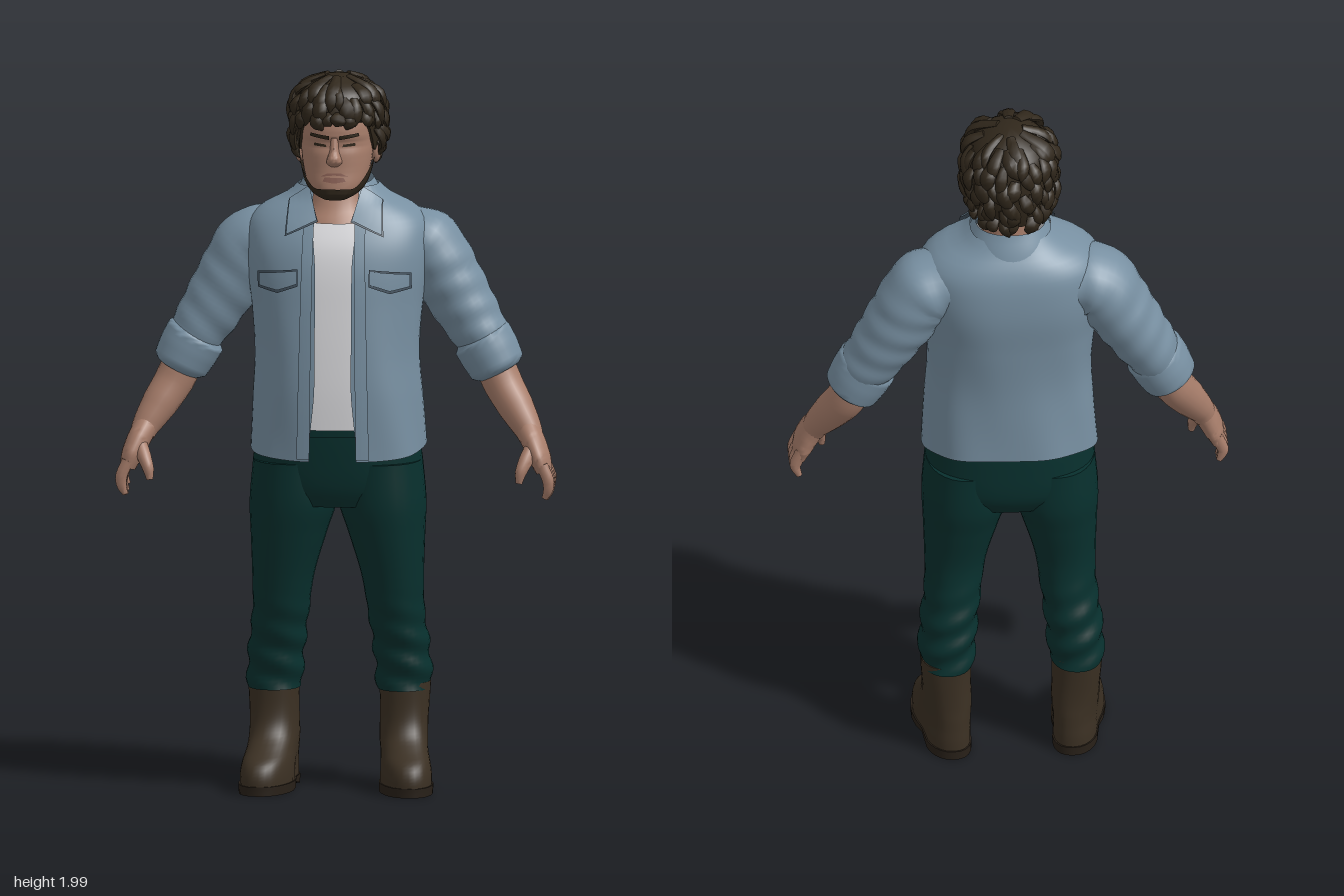
import * as THREE from 'three';
import { toCreasedNormals } from 'three/addons/utils/BufferGeometryUtils.js';

const mat = (name, color, side = THREE.FrontSide) => {
  const m = new THREE.MeshStandardMaterial({ color, side });
  m.name = name;
  return m;
};
const { lerp, smoothstep } = THREE.MathUtils;
const V = (x, y, z) => new THREE.Vector3(x, y, z);
const TAU = Math.PI * 2;

// Grid surface from f(u, v); caps close the first and last rows with fans
function patch(f, u0, u1, v0, v1, nu, nv, caps = false) {
  const rows = [];
  for (let j = 0; j <= nv; j++) {
    const row = [];
    for (let i = 0; i <= nu; i++) row.push(f(lerp(u0, u1, i / nu), lerp(v0, v1, j / nv)));
    rows.push(row);
  }
  if (caps) {
    const centre = (row) => {
      const c = V(0, 0, 0);
      for (let i = 0; i < nu; i++) c.addScaledVector(row[i], 1 / nu);
      return row.map(() => c);
    };
    rows.unshift(centre(rows[0]));
    rows.push(centre(rows[rows.length - 1]));
  }
  const pos = rows.flat().flatMap((p) => [p.x, p.y, p.z]);
  const idx = [], w = nu + 1;
  for (let j = 0; j < rows.length - 1; j++) for (let i = 0; i < nu; i++) {
    const a = j * w + i, b = a + 1, c = a + w, d = c + 1;
    if (!(caps && j === 0)) idx.push(a, b, caps && j === rows.length - 2 ? c : d);
    if (!(caps && j === rows.length - 2)) idx.push(a, d, c);
  }
  const g = new THREE.BufferGeometry();
  g.setAttribute('position', new THREE.Float32BufferAttribute(pos, 3));
  g.setIndex(idx);
  return toCreasedNormals(g, 1.0);
}

// Body of horizontal rings [y, halfWidth, frontZ, backZ, centreX]; angle 0 faces front
function body(secs, p = 0.9) {
  const slope = (k, c) => {
    const a = secs[Math.max(k - 1, 0)], b = secs[Math.min(k + 1, secs.length - 1)];
    return ((b[c] || 0) - (a[c] || 0)) / (b[0] - a[0]);
  };
  const ring = (y) => {
    let k = 0;
    while (k < secs.length - 2 && y > secs[k + 1][0]) k++;
    const A = secs[k], B = secs[k + 1], h = B[0] - A[0];
    const t = THREE.MathUtils.clamp((y - A[0]) / h, 0, 1), t2 = t * t, t3 = t2 * t;
    return [1, 2, 3, 4].map((c) => (2 * t3 - 3 * t2 + 1) * (A[c] || 0) + (t3 - 2 * t2 + t) * h * slope(k, c)
      + (3 * t2 - 2 * t3) * (B[c] || 0) + (t3 - t2) * h * slope(k + 1, c));
  };
  const pw = (s) => Math.sign(s) * Math.abs(s) ** p;
  const f = (a, y, off = 0) => {
    const [rx, zf, zb, cx] = ring(y);
    return V(cx + (rx + off) * pw(Math.sin(a)), y, (zf + zb) / 2 + ((zf - zb) / 2 + off) * pw(Math.cos(a)));
  };
  f.angle = (x, y, off = 0) => {
    const s = Math.min(1, Math.abs(x) / (ring(y)[0] + off));
    return Math.sign(x) * Math.asin(s ** (1 / p));
  };
  f.front = (x, y, off) => f(f.angle(x, y, off), y, off);
  return f;
}

// Limb along points [x, y, z, radiusAcross, radiusDeep]
function limb(pts, nu = 20, nv = 20, ref = V(0, 0, 1), wrinkle = 0) {
  const curve = new THREE.CatmullRomCurve3(pts.map((q) => V(q[0], q[1], q[2])));
  const f = (a, t) => {
    const T = curve.getTangent(t);
    const D = ref.clone().addScaledVector(T, -ref.dot(T)).normalize();
    const U = T.clone().cross(D);
    const s = t * (pts.length - 1), k = Math.min(Math.floor(s), pts.length - 2);
    const w = wrinkle * Math.sin(t * 38 + Math.sin(a) * 2);
    const r = (c) => lerp(pts[k][c], pts[k + 1][c], s - k) + w;
    return curve.getPoint(t).addScaledVector(U, Math.sin(a) * r(3)).addScaledVector(D, Math.cos(a) * r(4));
  };
  return patch(f, 0, TAU, 0, 1, nu, nv, true);
}

export function createModel() {
  const root = new THREE.Group();
  root.name = 'standingMan';
  const skin = mat('skin', 0xa87e6b), lip = mat('lips', 0x8a6054, 2), hair = mat('hair', 0x30271b, 2);
  const denim = mat('denim', 0x7890a2, 2), seam = mat('denimSeam', 0x465562, 2), white = mat('whiteCotton', 0xd9d9dc, 2);
  const green = mat('darkGreenTrousers', 0x08302e), leather = mat('bootLeather', 0x3b3023), soleMat = mat('bootSole', 0x282018);
  const add = (name, geo, m) => {
    const mesh = new THREE.Mesh(geo, m);
    mesh.name = name;
    root.add(mesh);
    return mesh;
  };
  // Thin piece draped on the front of a body; corners: lower a, b, then upper c, d
  const drape = (name, f, [a, b, c, d], off, m, sag = 0) => add(name, patch((u, v) => {
    const x = lerp(lerp(a[0], b[0], u), lerp(d[0], c[0], u), v);
    const y = lerp(lerp(a[1], b[1], u), lerp(d[1], c[1], u), v) - sag * (1 - v) * (1 - Math.abs(2 * u - 1));
    return f.front(x, y, off);
  }, 0, 1, 0, 1, 10, 8), m);

  // Open overshirt
  const torso = body([
    [0.92, 0.245, 0.193, -0.19], [1.1, 0.233, 0.197, -0.183], [1.22, 0.226, 0.193, -0.182], [1.35, 0.235, 0.184, -0.192],
    [1.45, 0.25, 0.174, -0.202], [1.52, 0.255, 0.158, -0.2], [1.58, 0.245, 0.13, -0.19], [1.62, 0.205, 0.106, -0.172],
    [1.65, 0.145, 0.088, -0.15], [1.69, 0.1, 0.07, -0.125]], 0.82);
  const gap = (y) => 0.05 + 0.014 * smoothstep(1.15 - y, 0, 0.2) + 0.012 * smoothstep(y, 1.45, 1.62);
  add('overshirt', patch((u, v) => {
    const tilt = 0.032 * Math.cos(u * TAU) * (1 - v);
    const y = lerp(0.965, 1.68, v) - tilt, a0 = torso.angle(gap(y), y);
    const a = lerp(a0, TAU - a0, u);
    return torso(a, y, 0.003 * Math.sin(a * 7 + y * 9) * (1 - v));
  }, 0, 1, 0, 1, 72, 48), denim);

  // Undershirt
  add('undershirt', patch((a, v) => torso(a, lerp(1.02, 1.585 + 0.03 * Math.min(1, a * a * 2), v), -0.007), -1.2, 1.2, 0, 1, 30, 30), white);

  for (const s of [1, -1]) {
    const q = (...pts) => pts.map(([x, y]) => [x * s, y]);
    drape('frontPlacket', torso, q([0.064, 0.94], [0.1, 0.94], [0.085, 1.6], [0.056, 1.6]), 0.007, denim);
    drape('pocketSeam', torso, q([0.098, 1.418], [0.212, 1.408], [0.212, 1.452], [0.098, 1.465]), 0.006, seam, 0.016);
    drape('pocketFlap', torso, q([0.102, 1.424], [0.208, 1.414], [0.208, 1.448], [0.102, 1.461]), 0.01, denim, 0.014);
    drape('collarSeam', torso, q([0.045, 1.592], [0.136, 1.552], [0.13, 1.645], [0.075, 1.68]), 0.012, seam);
    drape('collarLeaf', torso, q([0.048, 1.597], [0.132, 1.558], [0.128, 1.648], [0.073, 1.685]), 0.017, denim);
  }
  const collar = body([[1.62, 0.125, 0.1, -0.165], [1.66, 0.115, 0.085, -0.15], [1.705, 0.09, 0.06, -0.128]]);
  add('collar', patch((a, y) => collar(a, y + 0.012 * Math.cos(a) * -1), 0.75, TAU - 0.75, 1.625, 1.695, 40, 6), denim);

  for (const s of [1, -1]) {
    const m = (pts) => pts.map(([x, ...r]) => [x * s, ...r]);
    // Sleeve, rolled cuff and forearm
    add('sleeve', limb(m([[0.14, 1.53, -0.06, 0.08, 0.1], [0.235, 1.505, -0.06, 0.1, 0.118], [0.3, 1.41, -0.06, 0.094, 0.112],
      [0.36, 1.31, -0.055, 0.084, 0.1], [0.42, 1.215, -0.045, 0.07, 0.086]]), 28, 36, V(0, 0, 1), 0.002), denim);
    add('rolledCuff', limb(m([[0.386, 1.26, -0.045, 0.07, 0.08], [0.394, 1.247, -0.045, 0.085, 0.094], [0.415, 1.21, -0.043, 0.084, 0.094],
      [0.436, 1.17, -0.04, 0.078, 0.09], [0.442, 1.158, -0.04, 0.062, 0.072]]), 28, 16), denim);
    add('forearm', limb(m([[0.42, 1.2, -0.04, 0.055, 0.064], [0.45, 1.13, -0.03, 0.055, 0.062], [0.49, 1.065, 0, 0.05, 0.054],
      [0.527, 1.005, 0.03, 0.038, 0.042], [0.535, 0.985, 0.038, 0.034, 0.04]])), skin);
    // Hand
    add('palm', limb(m([[0.522, 1.015, 0.028, 0.034, 0.038], [0.545, 0.97, 0.05, 0.033, 0.054], [0.562, 0.93, 0.062, 0.03, 0.064],
      [0.574, 0.895, 0.066, 0.022, 0.058]])), skin);
    for (let i = 0; i < 4; i++) {
      const z = 0.11 - i * 0.03, drop = [0.005, 0, 0.006, 0.02][i];
      add('finger', limb(m([[0.57, 0.92, z, 0.017, 0.016], [0.588, 0.876, z + 0.002, 0.017, 0.016],
        [0.587, 0.845 + drop, z, 0.014, 0.014], [0.577, 0.822 + drop, z - 0.003, 0.008, 0.008]]), 10, 10), skin);
    }
    add('thumb', limb(m([[0.54, 0.965, 0.075, 0.02, 0.024], [0.525, 0.93, 0.108, 0.02, 0.02], [0.513, 0.9, 0.125, 0.016, 0.017],
      [0.508, 0.87, 0.13, 0.009, 0.009]]), 12, 12), skin);

    // Trouser leg, bunched towards the boot
    const leg = body([[0.27, 0.075, 0.032, -0.155, 0.178 * s], [0.34, 0.077, 0.045, -0.157, 0.176 * s], [0.42, 0.077, 0.066, -0.152, 0.168 * s],
      [0.5, 0.078, 0.09, -0.138, 0.158 * s], [0.6, 0.086, 0.112, -0.127, 0.15 * s], [0.72, 0.106, 0.138, -0.145, 0.134 * s],
      [0.8, 0.12, 0.152, -0.16, 0.123 * s], [0.92, 0.115, 0.158, -0.16, 0.118 * s]], 0.9);
    add('trouserLeg', patch((a, y) => leg(a, y, 0.005 * Math.sin(y * 75 + Math.sin(a) * 2.2) * smoothstep(0.58 - y, 0, 0.2)),
      0, TAU, 0.275, 0.92, 32, 56, true), green);

    // Boot with the toe turned out, and its arched sole
    const boot = body([[0, 0.072, 0.172, -0.155, 0.185 * s], [0.05, 0.073, 0.172, -0.155, 0.185 * s], [0.085, 0.07, 0.152, -0.152, 0.184 * s],
      [0.115, 0.067, 0.1, -0.15, 0.183 * s], [0.15, 0.067, 0.052, -0.147, 0.182 * s], [0.2, 0.067, 0.03, -0.147, 0.181 * s],
      [0.3, 0.071, 0.027, -0.152, 0.18 * s]], 0.85);
    const turned = (p) => {
      const waist = 1 - 0.16 * Math.exp(-(((p.z + 0.04) / 0.05) ** 2)) * (1 - smoothstep(p.y, 0.04, 0.14));
      p.x = 0.185 * s + (p.x - 0.185 * s) * waist + s * p.z * 0.13 * (1 - smoothstep(p.y, 0.08, 0.28));
      return p;
    };
    add('boot', patch((a, y) => turned(boot(a, y)), 0, TAU, 0.022, 0.295, 32, 28, true), leather);
    add('sole', patch((a, y) => {
      const p = turned(boot(a, y, 0.004));
      if (y < 0.012) p.y += 0.012 * Math.exp(-(((p.z + 0.03) / 0.04) ** 2));
      return p;
    }, 0, TAU, 0, 0.026, 32, 3, true), soleMat);
  }

  // Trouser seat
  const hips = body([[0.795, 0.17, 0.135, -0.14], [0.85, 0.228, 0.156, -0.166], [0.95, 0.23, 0.17, -0.17], [1.06, 0.215, 0.178, -0.165]], 0.85);
  add('trouserSeat', patch(hips, 0, TAU, 0.8, 1.05, 40, 16, true), green);
  drape('waistband', hips, [[-0.12, 1.0], [0.12, 1.0], [0.12, 1.035], [-0.12, 1.035]], 0.006, green);

  // Neck and head
  const neck = body([[1.52, 0.12, 0.13, -0.13], [1.58, 0.11, 0.112, -0.13], [1.62, 0.086, 0.085, -0.122], [1.68, 0.076, 0.065, -0.115], [1.76, 0.076, 0.06, -0.11]]);
  add('neck', patch(neck, 0, TAU, 1.52, 1.76, 28, 18, true), skin);
  const head = body([[1.652, 0.03, 0.128, 0.05], [1.666, 0.056, 0.141, 0], [1.69, 0.077, 0.143, -0.04], [1.73, 0.091, 0.137, -0.08],
    [1.78, 0.099, 0.134, -0.11], [1.805, 0.1, 0.128, -0.118], [1.83, 0.1, 0.137, -0.122], [1.88, 0.1, 0.128, -0.128], [1.93, 0.088, 0.105, -0.115], [1.965, 0.05, 0.06, -0.07]], 0.85);
  add('head', patch(head, 0, TAU, 1.652, 1.965, 40, 40, true), skin);
  const nose = body([[1.745, 0.012, 0.14, 0.1], [1.755, 0.022, 0.157, 0.1], [1.768, 0.02, 0.163, 0.1], [1.79, 0.013, 0.151, 0.1], [1.825, 0.011, 0.14, 0.1]], 1);
  add('nose', patch(nose, 0, TAU, 1.745, 1.825, 16, 14, true), skin);
  drape('mouth', head, [[-0.032, 1.705], [0.032, 1.705], [0.026, 1.716], [-0.026, 1.716]], 0.003, lip, 0.005);
  drape('moustache', head, [[-0.038, 1.718], [0.038, 1.718], [0.02, 1.727], [-0.02, 1.727]], 0.002, lip, -0.004);
  for (const s of [1, -1]) {
    drape('eye', head, [[0.022 * s, 1.799], [0.058 * s, 1.802], [0.056 * s, 1.81], [0.024 * s, 1.806]], 0.002, hair);
    drape('eyebrow', head, [[0.014 * s, 1.82], [0.068 * s, 1.829], [0.066 * s, 1.838], [0.014 * s, 1.831]], 0.004, hair);
    const ear = add('ear', new THREE.SphereGeometry(1, 14, 10), skin);
    ear.scale.set(0.016, 0.036, 0.023);
    ear.position.set(0.104 * s, 1.775, 0.0);
  }
  // Beard along the jaw
  add('beard', patch((a, v) => {
    const top = 1.684 + 0.075 * smoothstep(Math.abs(a), 0.6, 1.6);
    const low = 1.652 + 0.03 * smoothstep(Math.abs(a), 0.7, 1.6);
    return head(a, lerp(low, top, v), 0.006);
  }, -1.75, 1.75, 0, 1, 40, 8), hair);

  // Hair: a cap covered with overlapping locks
  const scalp = body([[1.7, 0.08, 0.09, -0.118], [1.78, 0.109, 0.115, -0.14], [1.85, 0.117, 0.134, -0.145], [1.92, 0.108, 0.126, -0.13],
    [1.955, 0.082, 0.098, -0.1], [1.982, 0.03, 0.04, -0.05]]);
  const away = (a) => Math.abs(Math.atan2(Math.sin(a), Math.cos(a)));
  const hairline = (a) => 1.868 - 0.09 * smoothstep(away(a), 0.75, 1.25) - 0.045 * smoothstep(away(a), 1.6, 2.2);
  add('hairCap', patch((a, v) => scalp(a, lerp(hairline(a), 1.982, v)), 0, TAU, 0, 1, 48, 16, true), hair);
  let seed = 7;
  const rnd = () => (seed = (seed * 16807) % 2147483647) / 2147483647;
  for (const [y, n] of [[1.98, 7], [1.962, 13], [1.93, 18], [1.89, 20], [1.845, 20], [1.8, 20], [1.765, 20]]) {
    for (let i = 0; i < n; i++) {
      const a = ((i + rnd() * 0.7) / n) * TAU, end = Math.max(y - 0.05 - rnd() * 0.035, hairline(a) - 0.022 * rnd() - 0.008);
      const swirl = (rnd() - 0.35) * 0.5, lift = 0.008 + rnd() * 0.01, w = 0.016 + rnd() * 0.008;
      if (y - end < 0.025) continue;
      const pts = [0, 0.35, 0.7, 1].map((t) => {
        const p = scalp(a + swirl * t, lerp(y, end, t), [0, lift, lift, lift * 0.9][Math.round(t * 3)]);
        return [p.x, p.y, p.z, w * [0.6, 1, 0.85, 0.1][Math.round(t * 3)], 0.011 * [0.7, 1, 0.8, 0.15][Math.round(t * 3)]];
      });
      add('hairLock', limb(pts, 8, 8, V(Math.sin(a), 0.35, Math.cos(a))), hair);
    }
  }
  return root;
}
